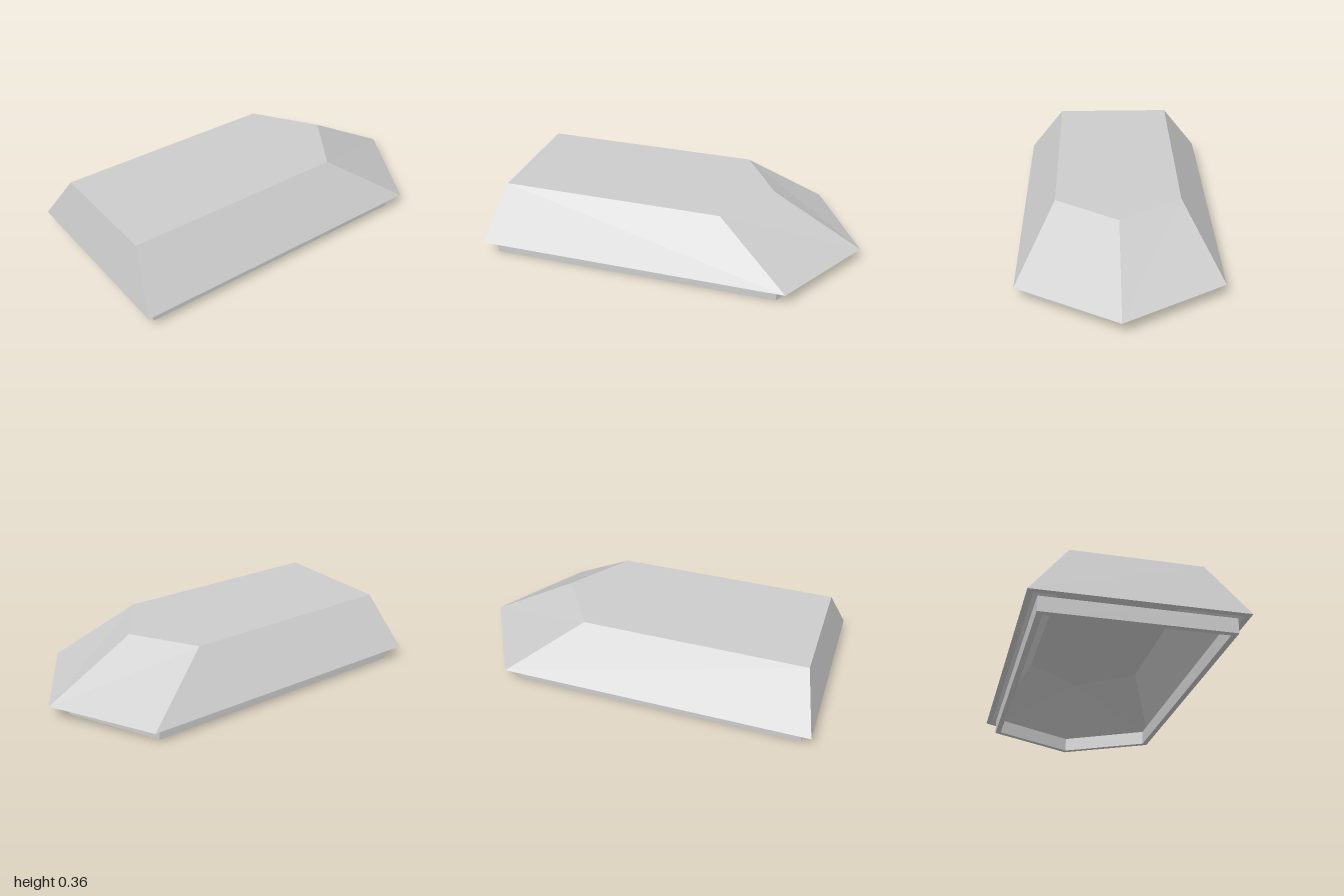
import * as THREE from 'three';

// Five-sided outline, pointed at +x, at height y
const ring = (y, back, half, shoulder, tip) => [
  [back, y, half], [shoulder, y, half], [tip, y, 0], [shoulder, y, -half], [back, y, -half],
];

// Joins successive rings with flat bands; optional caps close the first and last ring
function loft(rings, capped) {
  const pos = [];
  const tri = (a, b, c) => pos.push(...a, ...b, ...c);
  for (let r = 0; r < rings.length - 1; r++) {
    const a = rings[r], b = rings[r + 1];
    for (let i = 0; i < a.length; i++) {
      const j = (i + 1) % a.length;
      // The diagonal is mirrored on the far half so both sides match
      if (i < 2) {
        tri(a[i], b[i], b[j]);
        tri(a[i], b[j], a[j]);
      } else {
        tri(a[i], b[i], a[j]);
        tri(b[i], b[j], a[j]);
      }
    }
  }
  if (capped) {
    const a = rings[0], b = rings[rings.length - 1];
    for (let i = 1; i < a.length - 1; i++) {
      tri(a[0], a[i], a[i + 1]);
      tri(b[0], b[i + 1], b[i]);
    }
  }
  const geo = new THREE.BufferGeometry();
  geo.setAttribute('position', new THREE.Float32BufferAttribute(pos, 3));
  geo.computeVertexNormals();
  return geo;
}

export function createModel() {
  const group = new THREE.Group();
  const grey = new THREE.MeshStandardMaterial({ color: 0xcccccc });
  grey.name = 'grey';

  const add = (name, geo) => {
    const mesh = new THREE.Mesh(geo, grey);
    mesh.name = name;
    group.add(mesh);
  };

  // Sloped lid as a thin shell: top, eave, inner edge of the lip, inner ceiling
  add('slopedLid', loft([
    ring(0.36, -0.925, 0.335, 0.29, 0.51),
    ring(0.08, -1, 0.538, 0.69, 1),
    ring(0.08, -0.97, 0.507, 0.672, 0.965),
    ring(0.33, -0.9, 0.325, 0.305, 0.54),
  ], true));

  // Thin upright rim set inside the lip, open in the middle
  const rimTop = ring(0.08, -0.945, 0.484, 0.635, 0.89);
  add('baseRim', loft([
    rimTop,
    ring(0, -0.945, 0.484, 0.635, 0.89),
    ring(0, -0.915, 0.454, 0.617, 0.856),
    ring(0.08, -0.915, 0.454, 0.617, 0.856),
    rimTop,
  ], false));

  return group;
}
